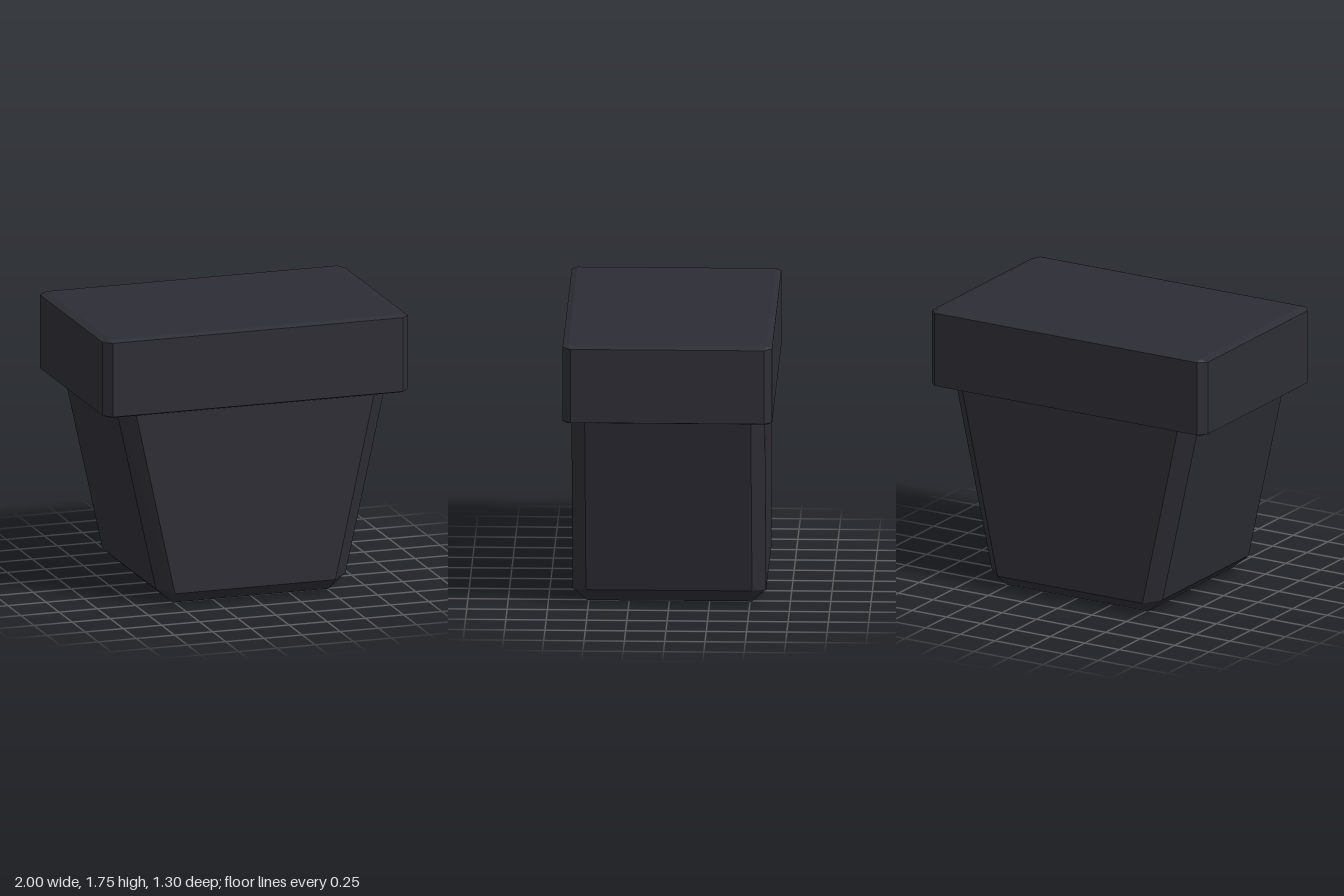
import * as THREE from 'three';
import { ConvexGeometry } from 'three/addons/geometries/ConvexGeometry.js';

// Convex solid from corner points of one quadrant, mirrored across x and z
function mirroredSolid(name, corners, material) {
  const points = [];
  for (const sx of [1, -1]) {
    for (const sz of [1, -1]) {
      for (const [x, y, z] of corners) points.push(new THREE.Vector3(sx * x, y, sz * z));
    }
  }
  const mesh = new THREE.Mesh(new ConvexGeometry(points), material);
  mesh.name = name;
  return mesh;
}

export function createModel() {
  const group = new THREE.Group();
  group.name = 'taperedBlock';
  const charcoal = new THREE.MeshStandardMaterial({ color: 0x2d2d35, flatShading: true });
  charcoal.name = 'charcoal';

  // Tapered body: bottom face, chamfered lower ring, wide upper ring inside the rim
  group.add(mirroredSolid('body', [
    [0.51, 0, 0.51],
    [0.525, 0.08, 0.6], [0.62, 0.095, 0.515],
    [0.79, 1.3, 0.6], [0.886, 1.3, 0.515],
  ], charcoal));

  // Overhanging rim with bevelled edges
  group.add(mirroredSolid('rim', [
    [0.95, 1.25, 0.615],
    [0.95, 1.263, 0.65], [1, 1.265, 0.6],
    [0.95, 1.737, 0.65], [1, 1.735, 0.6],
    [0.95, 1.75, 0.615],
  ], charcoal));

  return group;
}
